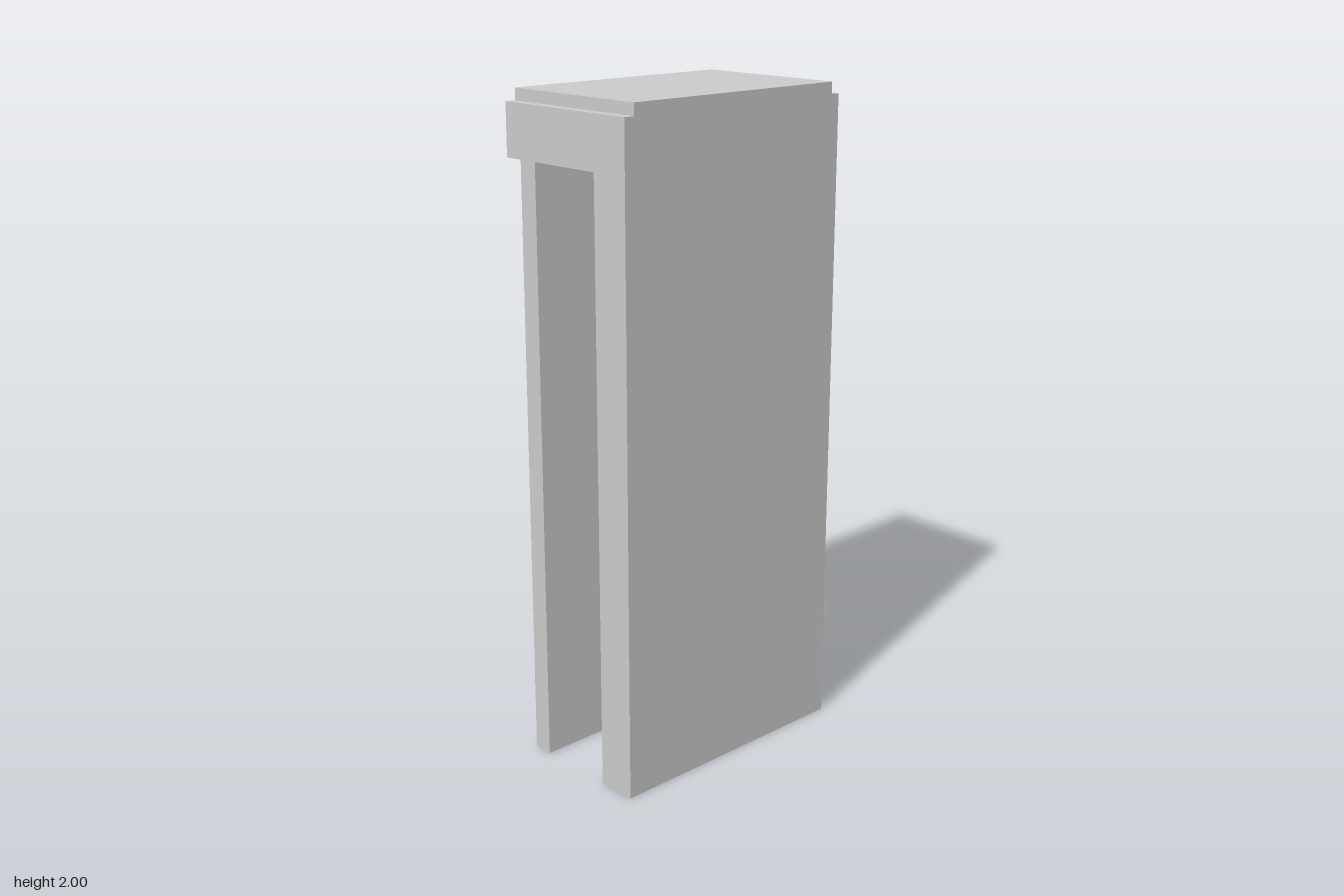
import * as THREE from 'three';

const HALF_W = 0.248, HALF_D = 0.412, INNER = 0.124;
const UNDERSIDE = 1.81, SHOULDER = 1.965, TOP = 2;

function createPrism(points, depth) {
  const shape = new THREE.Shape(points.map(([x, y]) => new THREE.Vector2(x, y)));
  return new THREE.ExtrudeGeometry(shape, { depth, bevelEnabled: false });
}

export function createModel() {
  const group = new THREE.Group();
  const material = new THREE.MeshStandardMaterial({ color: 0xcccccc, flatShading: true });
  const add = (name, geometry) => {
    const mesh = new THREE.Mesh(geometry, material);
    mesh.name = name;
    group.add(mesh);
    return mesh;
  };

  // Lintel and straight left wall, one front profile extruded along z
  add('lintelAndLeftWall', createPrism([
    [INNER, 0], [HALF_W, 0], [HALF_W, SHOULDER],
    [-HALF_W, SHOULDER], [-HALF_W, UNDERSIDE], [INNER, UNDERSIDE],
  ], HALF_D * 2)).position.z = -HALF_D;

  // Right wall: its outer face tapers inward to the front, its back corner is cut slightly.
  // Plan points are (x, -z), raised into y.
  const rightWall = createPrism([
    [-INNER, -HALF_D], [-INNER, HALF_D], [-0.187, HALF_D],
    [-HALF_W, 0.4], [-0.187, -HALF_D],
  ], UNDERSIDE);
  rightWall.rotateX(-Math.PI / 2);
  add('rightWall', rightWall);

  // Raised slab on top, set back at the front and back
  const slabFront = 0.378, slabBack = -0.383;
  add('topSlab', new THREE.BoxGeometry(HALF_W * 2, TOP - SHOULDER, slabFront - slabBack))
    .position.set(0, (TOP + SHOULDER) / 2, (slabFront + slabBack) / 2);

  return group;
}
